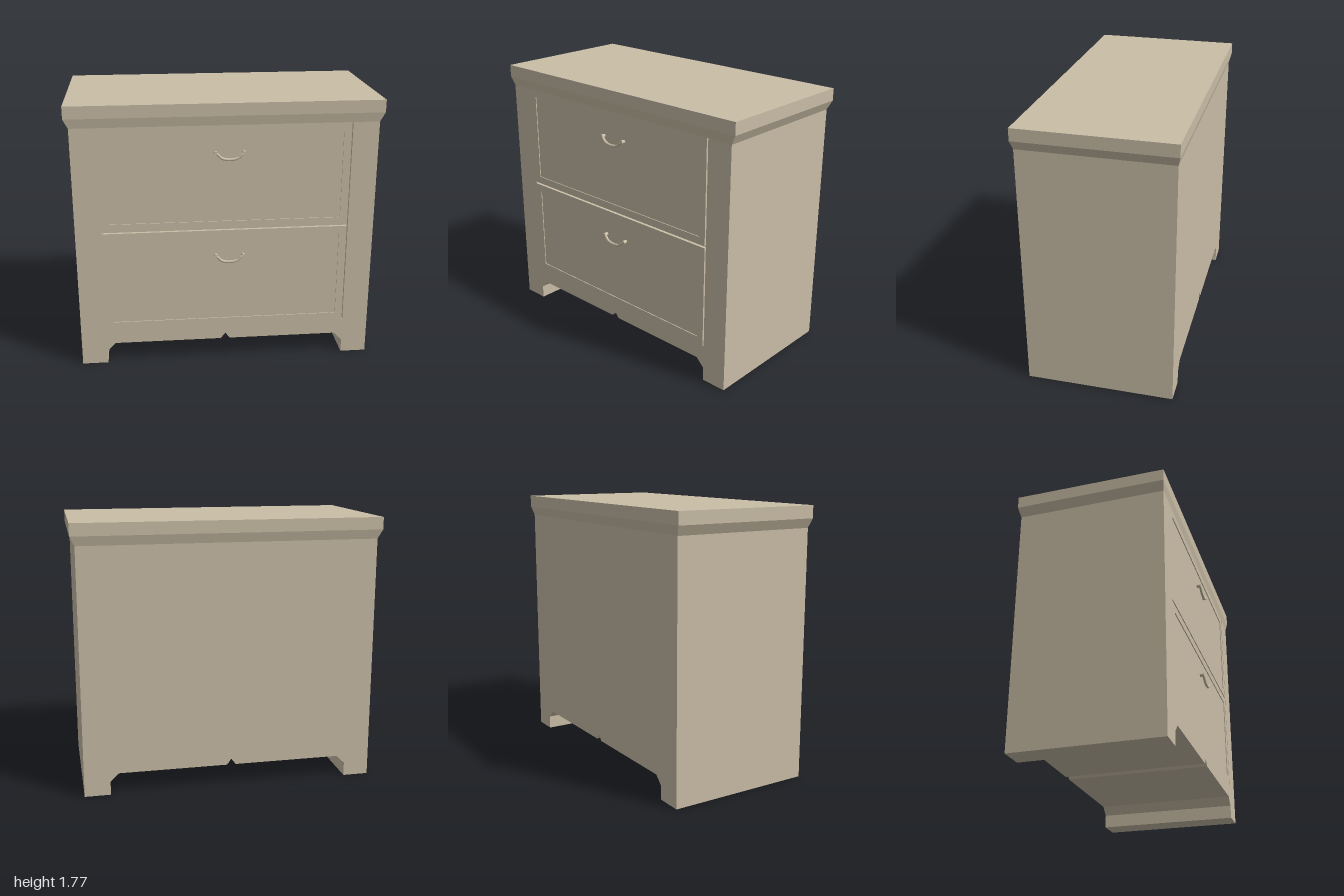
import * as THREE from 'three';

const wood = new THREE.MeshStandardMaterial({ color: 0xc9bda6 });
wood.name = 'pale wood';

const FRONT = 0.475, BACK = -0.49, GROOVE = 0.02;

function add(parent, name, geometry) {
  const mesh = new THREE.Mesh(geometry, wood);
  mesh.name = name;
  parent.add(mesh);
  return mesh;
}

function rectPoints(x0, x1, y0, y1) {
  return [[x0, y0], [x1, y0], [x1, y1], [x0, y1]].map(([x, y]) => new THREE.Vector2(x, y));
}

// Extrude a shape between two z positions
function slab(shape, z0, z1) {
  return new THREE.ExtrudeGeometry(shape, { depth: z1 - z0, bevelEnabled: false }).translate(0, 0, z0);
}

// Cabinet outline with bracket feet and a small notch in the middle
function outline() {
  return new THREE.Shape([
    [-0.97, 0], [-0.8, 0], [-0.8, 0.09], [-0.745, 0.145], [-0.035, 0.145], [-0.005, 0.185],
    [0.025, 0.145], [0.745, 0.145], [0.8, 0.09], [0.8, 0], [0.97, 0], [0.97, 1.65], [-0.97, 1.65],
  ].map(([x, y]) => new THREE.Vector2(x, y)));
}

// Top board: a box whose rows widen into a flared moulding
function topGeometry() {
  const rows = [
    { y: 1.63, x: 0.97, front: FRONT, back: BACK },
    { y: 1.69, x: 1.0, front: 0.485, back: -0.505 },
    { y: 1.77, x: 1.0, front: 0.485, back: -0.505 },
  ];
  const g = new THREE.BoxGeometry(2, 2, 2, 1, 2, 1).toNonIndexed();
  const p = g.attributes.position;
  for (let i = 0; i < p.count; i++) {
    const r = rows[Math.round(p.getY(i)) + 1];
    p.setXYZ(i, Math.sign(p.getX(i)) * r.x, r.y, p.getZ(i) > 0 ? r.front : r.back);
  }
  g.computeVertexNormals();
  return g;
}

// Curved pull handle with two round mounts
function makeHandle(y) {
  const handle = new THREE.Group();
  handle.name = 'handle';
  const path = new THREE.CatmullRomCurve3([
    [-0.093, 0.042, 0.012], [-0.08, 0.036, 0.018], [-0.052, 0.01, 0.02], [0, 0, 0.02],
    [0.052, 0.01, 0.02], [0.08, 0.036, 0.018], [0.093, 0.042, 0.012],
  ].map((a) => new THREE.Vector3(...a)));
  add(handle, 'handleGrip', new THREE.TubeGeometry(path, 28, 0.009, 8));
  for (const side of [-1, 1]) {
    const mount = new THREE.CylinderGeometry(0.012, 0.012, 0.028, 12).rotateX(Math.PI / 2);
    add(handle, 'handleMount', mount).position.set(side * 0.09, 0.041, 0.01);
  }
  handle.position.set(0.02, y, FRONT);
  return handle;
}

// Drawer front: a flush frame around a slightly sunken panel
function makeDrawer(y0, y1, handleY) {
  const drawer = new THREE.Group();
  drawer.name = 'drawer';
  const frame = new THREE.Shape(rectPoints(-0.8, 0.79, y0, y1));
  const inner = rectPoints(-0.75, 0.745, y0 + 0.05, y1 - 0.05);
  frame.holes.push(new THREE.Path(inner));
  add(drawer, 'drawerFrame', slab(frame, FRONT - GROOVE, FRONT));
  add(drawer, 'drawerPanel', slab(new THREE.Shape(inner), FRONT - GROOVE, FRONT - 0.006));
  drawer.add(makeHandle(handleY));
  return drawer;
}

export function createModel() {
  const model = new THREE.Group();
  model.name = 'nightstand';

  // Cabinet body and the face frame around the drawer opening
  add(model, 'body', slab(outline(), BACK, FRONT - GROOVE));
  const face = outline();
  face.holes.push(new THREE.Path(rectPoints(-0.8, 0.8, 0.25, 1.63)));
  add(model, 'faceFrame', slab(face, FRONT - GROOVE, FRONT));

  add(model, 'top', topGeometry());

  // Narrow gaps are left between the drawers and at the right side
  model.add(makeDrawer(0.25, 0.933, 0.718));
  model.add(makeDrawer(0.946, 1.63, 1.413));
  return model;
}
